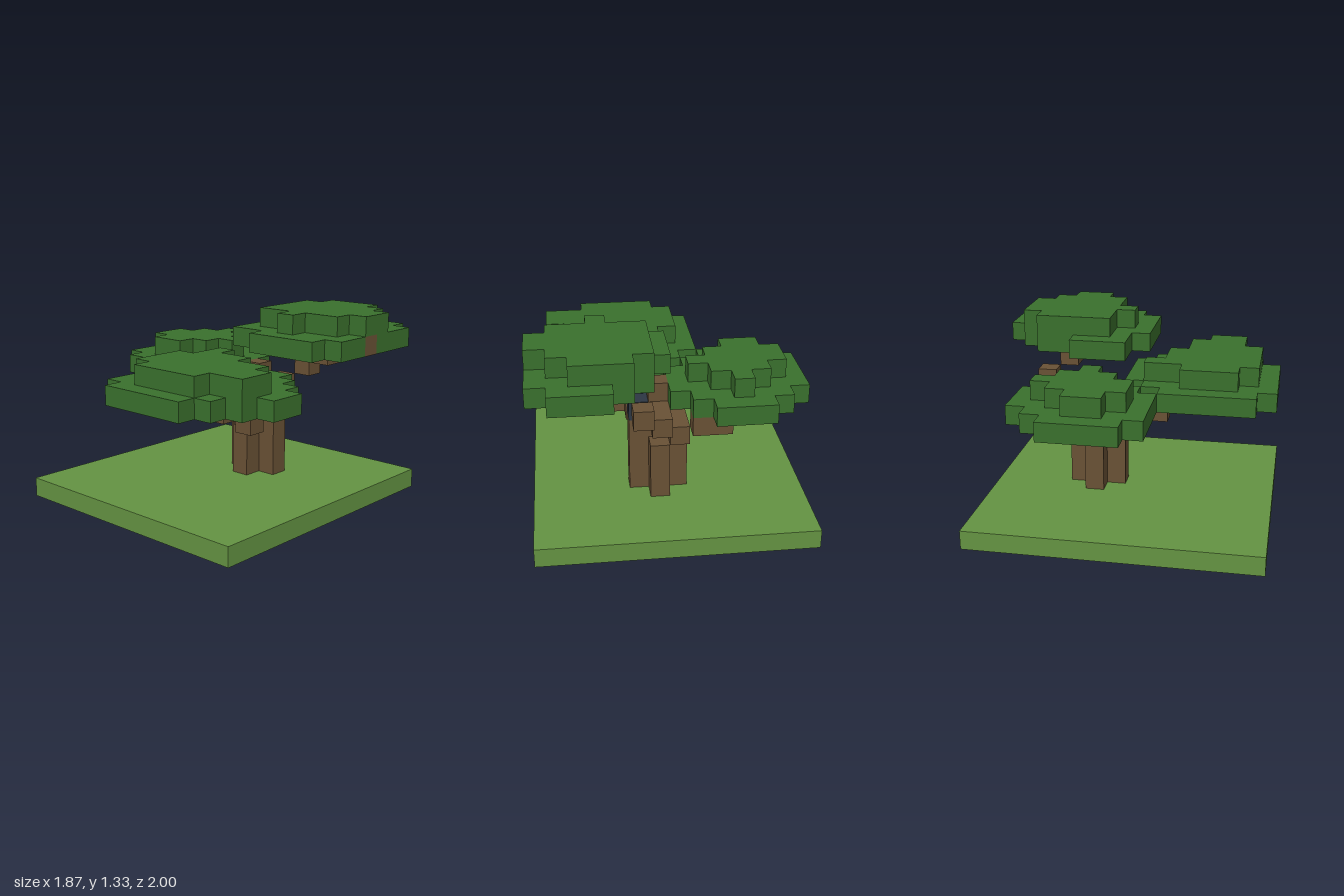
import * as THREE from 'three';

const S = 2 / 15; // size of one block
const ORIGIN = [-7 * S, 0, -7.5 * S];

const colour = (name, hex) => {
  const m = new THREE.MeshStandardMaterial({ color: hex });
  m.name = name;
  return m;
};

export function createModel() {
  const grass = colour('grass', 0x649342);
  const leaf = colour('leaf', 0x3a702d);
  const bark = colour('bark', 0x695135);
  const slate = colour('slate blue', 0x2d3743);

  const cells = new Map(); // 'x,y,z' -> part, later parts replace earlier ones
  const parts = [];
  const part = (name, material) => {
    const p = { name, material };
    parts.push(p);
    return p;
  };
  const put = (p, x, y, z) => cells.set([x, y, z].join(), p);
  // rows of blocks: each entry is [first x, last x], starting at row z0
  const layer = (p, y, z0, rows) => rows.forEach(([a, b], r) => {
    for (let x = a; x <= b; x++) put(p, x, y, z0 + r);
  });

  // ground slab
  layer(part('ground', grass), 0, 0, Array(15).fill([0, 13]));

  // left canopy
  const sideCanopy = part('sideCanopy', leaf);
  layer(sideCanopy, 6, 2, [[2, 4], [1, 5], [0, 6], [0, 6], [0, 6], [0, 5], [1, 4]]);
  layer(sideCanopy, 7, 3, [[3, 3], [2, 4], [1, 5], [1, 4], [2, 3]]);

  // front canopy
  const frontCanopy = part('frontCanopy', leaf);
  layer(frontCanopy, 6, 7, [[7, 10], [6, 11], [5, 12], [5, 13], [5, 13], [5, 12], [5, 11], [6, 10]]);
  layer(frontCanopy, 7, 8, [[7, 7], [7, 9], [6, 11], [6, 12], [6, 12], [7, 10]]);

  // high rear canopy
  const highCanopy = part('highCanopy', leaf);
  layer(highCanopy, 8, 0, [[10, 12], [9, 13], [8, 13], [8, 13], [7, 13], [7, 13], [7, 13], [9, 12]]);
  layer(highCanopy, 9, 1, [[9, 11], [8, 12], [8, 13], [8, 13], [8, 12], [10, 10]]);
  cells.delete('11,8,3');
  cells.delete('12,8,3');

  // trunk with a plus-shaped section
  const trunk = part('trunk', bark);
  for (let y = 0; y < 4; y++) layer(trunk, y, 4, [[7, 7], [6, 8], [7, 7]]);
  layer(trunk, 4, 4, [[6, 6], [6, 8]]);

  // branches
  const branch = (name, list) => {
    const p = part(name, bark);
    list.forEach((c) => put(p, ...c));
  };
  branch('sideBranch', [[5, 5, 3], [4, 5, 3], [3, 6, 3]]);
  branch('frontBranch', [[8, 4, 7], [9, 4, 8], [9, 5, 9], [9, 5, 10], [10, 6, 10], [11, 6, 10], [12, 6, 11]]);
  branch('rearBranch', [[7, 5, 4], [7, 5, 3], [8, 6, 2], [9, 7, 3], [10, 7, 3],
    [11, 8, 2], [11, 8, 4], [12, 8, 4], [13, 8, 4], [12, 8, 5]]);
  branch('topStub', [[7, 6, 5]]);

  // dark block in the fork
  put(part('forkBlock', slate), 8, 5, 5);

  // outer faces of every part
  const positions = new Map(parts.map((p) => [p, []]));
  const ring = [[0, 0], [1, 0], [1, 1], [0, 1]];
  for (const [key, p] of cells) {
    const c = key.split(',').map(Number);
    for (let axis = 0; axis < 3; axis++) {
      for (const side of [0, 1]) {
        const next = [...c];
        next[axis] += side ? 1 : -1;
        if (cells.has(next.join())) continue;
        const quad = ring.map(([u, v]) => {
          const q = [...c];
          q[axis] += side;
          q[(axis + 1) % 3] += u;
          q[(axis + 2) % 3] += v;
          return q.map((n, i) => ORIGIN[i] + n * S);
        });
        if (!side) quad.reverse();
        for (const i of [0, 1, 2, 0, 2, 3]) positions.get(p).push(...quad[i]);
      }
    }
  }

  const group = new THREE.Group();
  group.name = 'blockTree';
  for (const [p, data] of positions) {
    const geometry = new THREE.BufferGeometry();
    geometry.setAttribute('position', new THREE.Float32BufferAttribute(data, 3));
    geometry.computeVertexNormals();
    const mesh = new THREE.Mesh(geometry, p.material);
    mesh.name = p.name;
    group.add(mesh);
  }
  return group;
}
